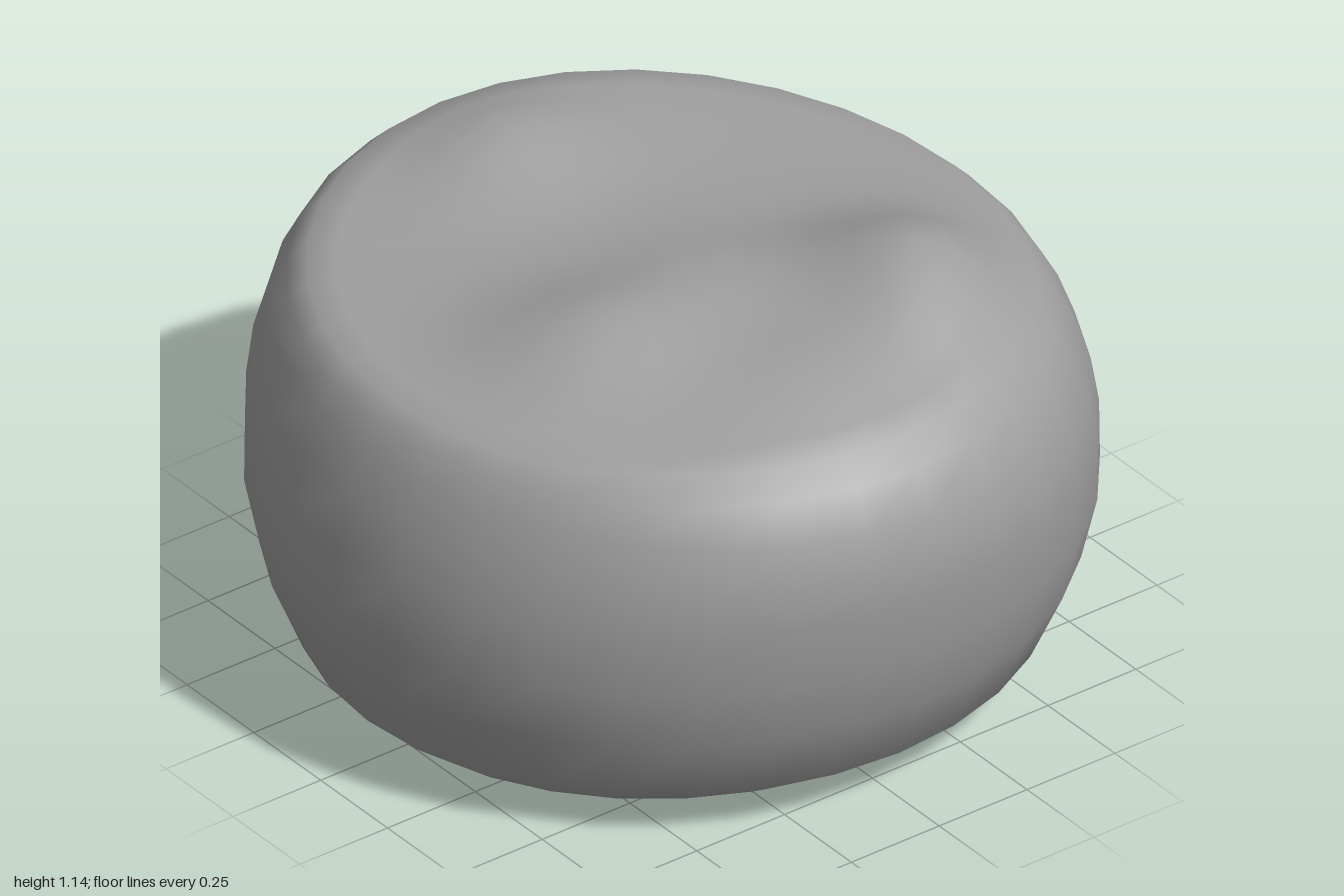
import * as THREE from 'three';

const SEGMENTS = 32;

// Side profile from base to rim: [x radius, y at sides, z radius, y at front and back]
const profile = [
  [0.42, 0.0, 0.5, 0.0],
  [0.62, 0.02, 0.7, 0.015],
  [0.76, 0.06, 0.8, 0.055],
  [0.85, 0.12, 0.868, 0.11],
  [0.93, 0.29, 0.94, 0.29],
  [0.98, 0.46, 0.967, 0.45],
  [0.998, 0.63, 0.955, 0.6],
  [1.0, 0.72, 0.925, 0.74],
  [0.98, 0.83, 0.88, 0.85],
  [0.93, 0.93, 0.845, 0.91],
  [0.87, 0.99, 0.805, 0.952],
];

// Soft lumps of the seat: [x, z, height, width]
const lumps = [
  [0.4, -0.4, 0.15, 0.26],
  [0.62, -0.32, 0.05, 0.2],
  [0.17, 0.36, 0.095, 0.25],
  [-0.65, 0, 0.075, 0.22],
  [0.13, -0.03, 0.045, 0.25],
  [0.62, 0.1, 0.06, 0.28],
];

function seatHeight(x, z, r, rimY) {
  let y = THREE.MathUtils.lerp(0.99, rimY, r * r);
  const fade = 1 - r ** 8;
  for (const [lx, lz, h, w] of lumps) {
    const d2 = (x - lx) ** 2 + (z - lz) ** 2;
    y += fade * h * Math.exp(-d2 / (w * w));
  }
  return y;
}

function cushionGeometry() {
  const positions = [0, 0, 0];
  const index = [];
  let rings = 0;

  // Adds one ring of points
  const addRing = (point) => {
    for (let i = 0; i < SEGMENTS; i++) {
      const a = (i / SEGMENTS) * Math.PI * 2;
      positions.push(...point(Math.cos(a), Math.sin(a)));
    }
    rings++;
  };

  // Base and bulging side
  for (const [rx, yx, rz, yz] of profile) {
    addRing((c, s) => [rx * c, THREE.MathUtils.lerp(yz, yx, c * c), rz * s]);
  }

  // Lumpy seat, from the rim to the middle
  const [rimX, rimYx, rimZ, rimYz] = profile[profile.length - 1];
  for (let k = 11; k >= 1; k--) {
    const r = k / 12;
    addRing((c, s) => {
      const x = rimX * r * c;
      const z = rimZ * r * s;
      return [x, seatHeight(x, z, r, THREE.MathUtils.lerp(rimYz, rimYx, c * c)), z];
    });
  }
  const top = positions.length / 3;
  positions.push(0, seatHeight(0, 0, 0, 0.97), 0);

  // Faces: base fan, side and seat strips, middle fan
  const at = (ring, i) => 1 + ring * SEGMENTS + (i % SEGMENTS);
  for (let i = 0; i < SEGMENTS; i++) {
    index.push(0, at(0, i), at(0, i + 1));
    for (let k = 0; k < rings - 1; k++) {
      const a = at(k, i), b = at(k, i + 1), c = at(k + 1, i + 1), d = at(k + 1, i);
      index.push(a, d, b, b, d, c);
    }
    index.push(top, at(rings - 1, i + 1), at(rings - 1, i));
  }

  const geometry = new THREE.BufferGeometry();
  geometry.setAttribute('position', new THREE.Float32BufferAttribute(positions, 3));
  geometry.setIndex(index);
  geometry.computeVertexNormals();
  return geometry;
}

export function createModel() {
  const fabric = new THREE.MeshStandardMaterial({ color: 0xa0a0a0 });
  fabric.name = 'grey fabric';

  const model = new THREE.Group();
  model.name = 'pouf';
  const cushion = new THREE.Mesh(cushionGeometry(), fabric);
  cushion.name = 'cushion';
  model.add(cushion);
  return model;
}
